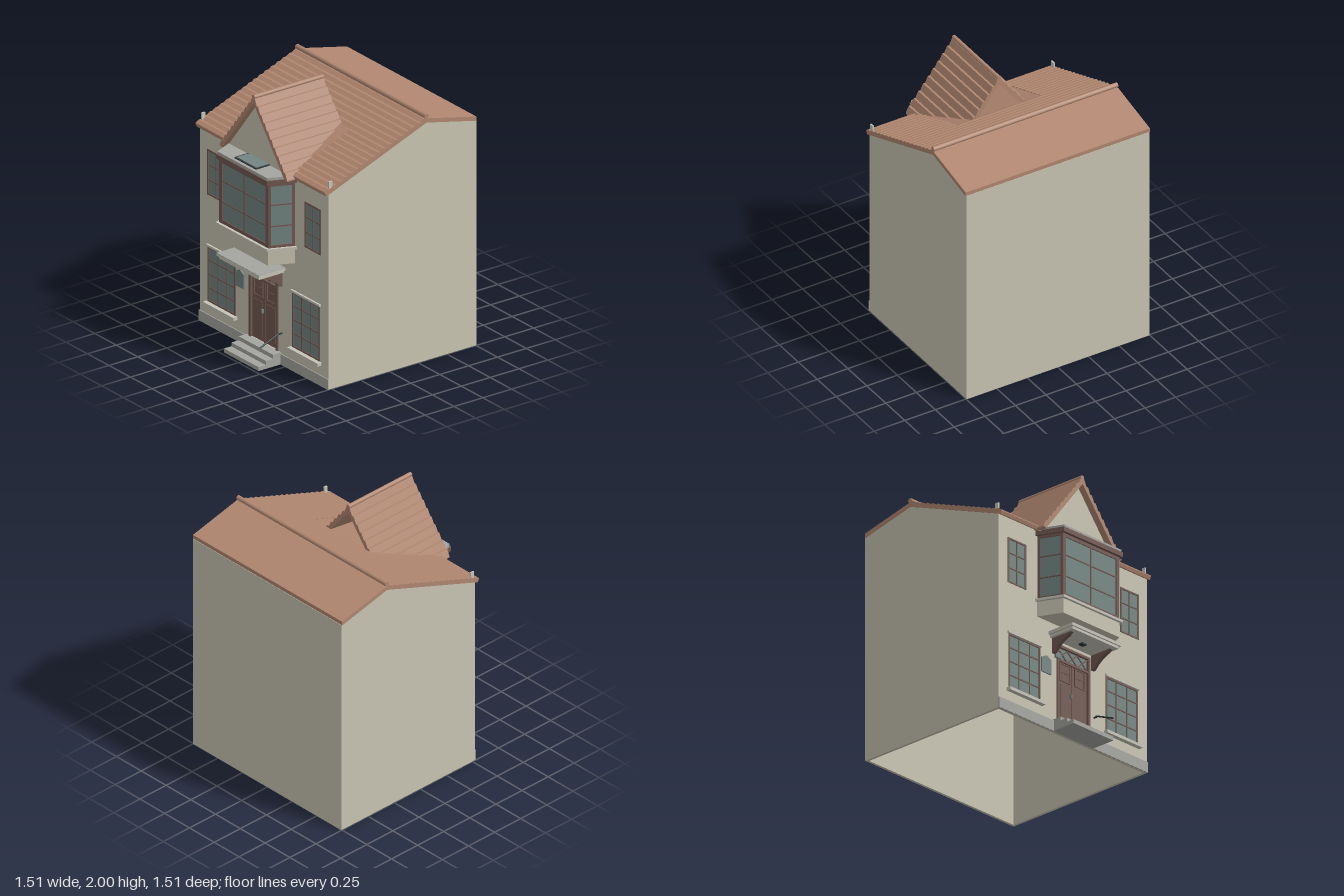
import * as THREE from 'three';

const mat = (name, color) => Object.assign(new THREE.MeshStandardMaterial({ color }), { name });

export function createModel() {
  const root = new THREE.Group();
  root.name = 'house';
  const cream = mat('cream render', 0xc8c4b2);
  const tile = mat('clay tile', 0xb08670);
  const brown = mat('brown timber', 0x725850);
  const glass = mat('window glass', 0x728482);
  const stone = mat('grey stone', 0xa4a4a0);
  const pale = mat('pale stone', 0xc6c4b8);
  const iron = mat('dark iron', 0x30383a);

  const add = (name, geo, m, parent = root) => {
    const mesh = new THREE.Mesh(geo, m);
    mesh.name = name;
    parent.add(mesh);
    return mesh;
  };
  // Box given by its limits on each axis
  const box = (name, m, x0, x1, y0, y1, z0, z1, parent = root) => {
    const mesh = add(name, new THREE.BoxGeometry(x1 - x0, y1 - y0, z1 - z0), m, parent);
    mesh.position.set((x0 + x1) / 2, (y0 + y1) / 2, (z0 + z1) / 2);
    return mesh;
  };
  const shapeOf = pts => new THREE.Shape(pts.map(p => new THREE.Vector2(p[0], p[1])));
  const extrude = (shape, depth) => new THREE.ExtrudeGeometry(shape, { depth, bevelEnabled: false, curveSegments: 8 });
  // Outline in (z, y), extruded from x0 to x1
  const alongX = (name, m, pts, x0, x1) => {
    const geo = extrude(shapeOf(pts.map(([z, y]) => [-z, y])), x1 - x0);
    add(name, geo.rotateY(Math.PI / 2).translate(x0, 0, 0), m);
  };
  // Outline in (x, y), extruded from z0 to z1
  const alongZ = (name, m, pts, z0, z1) =>
    add(name, extrude(shapeOf(pts), z1 - z0).translate(0, 0, z0), m);

  // Walls, open underneath, with openings in the front
  const openings = [[-0.165, 0.165, 0.09, 0.68]];
  for (const s of [-1, 1]) {
    openings.push([s * 0.49 - 0.16, s * 0.49 + 0.16, 0.18, 0.6]);
    openings.push([s * 0.567 - 0.092, s * 0.567 + 0.092, 0.99, 1.335]);
  }
  const front = shapeOf([[-0.748, 0], [0.748, 0], [0.748, 1.49], [-0.748, 1.49]]);
  for (const [x0, x1, y0, y1] of openings) {
    front.holes.push(shapeOf([[x0, y0], [x0, y1], [x1, y1], [x1, y0]]));
  }
  add('frontWall', extrude(front, 0.02).translate(0, 0, 0.507), cream);
  box('backWall', cream, -0.748, 0.748, 0, 1.71, -0.755, -0.735);
  const side = [[0.507, 0], [-0.735, 0], [-0.735, 1.714], [-0.32, 1.812], [0.507, 1.495]];
  alongX('sideWall', cream, side, 0.728, 0.748);
  alongX('sideWall', cream, side, -0.748, -0.728);
  box('plinth', stone, -0.75, 0.75, 0, 0.08, 0.5275, 0.535);

  // Main roof slabs
  const roofY = z => 1.505 + (0.56 - z) * 0.381;
  alongX('frontRoof', tile, [[0.55, 1.475], [0.56, 1.505], [-0.32, 1.84], [-0.32, 1.808]], -0.753, 0.753);
  alongX('backRoof', tile, [[-0.32, 1.808], [-0.32, 1.84], [-0.752, 1.74], [-0.752, 1.708]], -0.753, 0.753);

  // Stepped tile courses: a flat tread, then a steep face, for each row
  const courses = (u0, v0, u1, v1, rows, tread) => {
    const pts = [[u0, v0 - 0.01]];
    const du = (u1 - u0) / rows, dv = (v1 - v0) / rows;
    for (let i = 0; i < rows; i++) {
      const u = u0 + du * i, v = v0 + dv * i;
      pts.push([u, v], [u + du * tread, v]);
    }
    pts.push([u1, v1], [u1, v1 - 0.01]);
    return pts;
  };
  alongX('upperTiles', tile, courses(-0.32, roofY(-0.32), 0.03, roofY(0.03), 7, 0.42), -0.753, 0.753);
  const lower = courses(0.03, roofY(0.03), 0.56, roofY(0.56), 11, 0.42);
  alongX('lowerTiles', tile, lower, 0.345, 0.753);
  alongX('lowerTiles', tile, lower, -0.753, -0.345);
  const ridge = add('mainRidge', new THREE.CylinderGeometry(0.018, 0.018, 1.506, 12), tile);
  ridge.rotation.z = Math.PI / 2;
  ridge.position.set(0, 1.855, -0.32);

  // Front gable and its roof, open at the rear
  alongZ('gableWall', cream, [[-0.375, 1.47], [0.375, 1.47], [0, 1.945]], 0.55, 0.57);
  for (const s of [-1, 1]) {
    const mirror = pts => pts.map(([x, y]) => [s * x, y]);
    alongZ('gableRoof', tile, mirror([[0, 1.935], [0, 1.975], [0.392, 1.485], [0.368, 1.47]]), 0.02, 0.62);
    alongZ('gableTiles', tile, mirror(courses(0, 1.975, 0.392, 1.485, 10, 0.4)), 0.02, 0.62);
    box('eaveStone', pale, s * 0.74 - 0.006, s * 0.74 + 0.006, 1.52, 1.575, 0.49, 0.52);
  }
  const gableRidge = add('gableRidge', new THREE.CylinderGeometry(0.016, 0.016, 0.6, 12), tile);
  gableRidge.rotation.x = Math.PI / 2;
  gableRidge.position.set(0, 1.984, 0.32);

  // Glazed panel centred on its own origin, facing +z
  const panel = (name, w, h, cols, rows, edge) => {
    const g = new THREE.Group();
    g.name = name;
    const X = w / 2, Y = h / 2;
    box('pane', glass, -X, X, -Y, Y, -0.004, 0.004, g);
    for (const s of [-1, 1]) {
      const x = s * (X - edge / 2), y = s * (Y - edge / 2);
      box('stile', brown, x - edge / 2, x + edge / 2, -Y, Y, -0.012, 0.012, g);
      box('rail', brown, -X, X, y - edge / 2, y + edge / 2, -0.011, 0.011, g);
    }
    for (let i = 1; i < cols; i++) {
      const x = -X + w * i / cols;
      box('mullion', brown, x - 0.004, x + 0.004, -Y, Y, -0.009, 0.009, g);
    }
    for (let i = 1; i < rows; i++) {
      const y = -Y + h * i / rows;
      box('glazingBar', brown, -X, X, y - 0.004, y + 0.004, -0.009, 0.009, g);
    }
    root.add(g);
    return g;
  };

  // Wall windows with sills and lintels
  for (const s of [-1, 1]) {
    const x = s * 0.49;
    panel('groundWindow', 0.32, 0.42, 3, 4, 0.012).position.set(x, 0.39, 0.52);
    box('sill', pale, x - 0.178, x + 0.178, 0.155, 0.178, 0.52, 0.562);
    box('lintel', pale, x - 0.168, x + 0.168, 0.6, 0.616, 0.52, 0.542);
    panel('upperWindow', 0.184, 0.345, 2, 3, 0.012).position.set(s * 0.567, 1.1625, 0.52);
  }

  // Bay window: splayed prisms with glazed panels between
  const bay = (name, m, wide, narrow, z, y0, y1) =>
    add(name, extrude(shapeOf([[-wide, 0.525], [wide, 0.525], [narrow, z], [-narrow, z]]), y1 - y0)
      .rotateX(Math.PI / 2).translate(0, y1, 0), m);
  bay('bayBase', cream, 0.362, 0.282, 0.705, 0.825, 0.937);
  bay('baySill', pale, 0.382, 0.296, 0.725, 0.937, 0.956);
  bay('bayCornice', brown, 0.38, 0.296, 0.725, 1.44, 1.475);
  bay('bayRoof', stone, 0.372, 0.288, 0.718, 1.475, 1.495);
  panel('bayFront', 0.56, 0.484, 2, 3, 0.026).position.set(0, 1.198, 0.692);
  for (const s of [-1, 1]) {
    const p = panel('baySide', 0.188, 0.484, 1, 3, 0.018);
    p.position.set(s * 0.312, 1.198, 0.612);
    p.rotation.y = s * 1.166;
    const post = add('bayPost', new THREE.CylinderGeometry(0.015, 0.015, 0.484, 8), brown);
    post.position.set(s * 0.274, 1.198, 0.69);
  }
  box('skylightFrame', iron, -0.126, 0.126, 1.494, 1.502, 0.56, 0.692);
  box('skylightGlass', glass, -0.114, 0.114, 1.5, 1.504, 0.57, 0.68);

  // Door with two leaves and a lattice fanlight
  box('doorLeaves', brown, -0.15, 0.15, 0.09, 0.57, 0.508, 0.518);
  box('doorHead', brown, -0.165, 0.165, 0.664, 0.682, 0.505, 0.537);
  box('transom', brown, -0.15, 0.15, 0.556, 0.574, 0.505, 0.535);
  box('fanlight', glass, -0.15, 0.15, 0.57, 0.67, 0.51, 0.517);
  box('meetingStile', brown, -0.006, 0.006, 0.09, 0.56, 0.51, 0.526);
  for (const s of [-1, 1]) {
    box('doorPost', brown, s * 0.157 - 0.009, s * 0.157 + 0.009, 0.09, 0.68, 0.505, 0.537);
    panel('doorLight', 0.106, 0.14, 1, 2, 0.01).position.set(s * 0.075, 0.488, 0.513);
    box('doorPanel', brown, s * 0.075 - 0.047, s * 0.075 + 0.047, 0.12, 0.39, 0.515, 0.522);
    for (let i = -1; i <= 1; i++) {
      const bar = add('lattice', new THREE.BoxGeometry(0.134, 0.008, 0.012), brown);
      bar.position.set(i * 0.1, 0.619, 0.518);
      bar.rotation.z = s * 0.73;
    }
  }
  box('doorHandle', glass, -0.025, -0.015, 0.31, 0.34, 0.518, 0.535);

  // Canopy on curved brackets
  box('canopyTop', pale, -0.246, 0.246, 0.727, 0.747, 0.52, 0.757);
  box('canopyRoof', stone, -0.246, 0.246, 0.747, 0.75, 0.52, 0.757);
  box('canopyBase', pale, -0.232, 0.232, 0.708, 0.727, 0.52, 0.745);
  const bracket = [[0.525, 0.708], [0.705, 0.708], [0.685, 0.69], [0.62, 0.662], [0.575, 0.63], [0.55, 0.6], [0.525, 0.595]];
  for (const s of [-1, 1]) alongX('bracket', brown, bracket, s * 0.197 - 0.014, s * 0.197 + 0.014);
  box('canopyLamp', iron, -0.022, 0.022, 0.698, 0.709, 0.6, 0.64);

  // Steps, handrail and wall fittings
  for (let i = 0; i < 3; i++) {
    box('step', stone, -0.2, 0.2, i * 0.03, i * 0.03 + 0.03, 0.527, 0.725 - i * 0.063);
  }
  const rail = new THREE.LineCurve3(new THREE.Vector3(0.21, 0.175, 0.722), new THREE.Vector3(0.21, 0.247, 0.55));
  add('handrail', new THREE.TubeGeometry(rail, 1, 0.006, 8), iron);
  box('railBracket', iron, 0.206, 0.214, 0.235, 0.245, 0.525, 0.56);
  alongZ('wallPlaque', glass, [[-0.322, 0.42], [-0.225, 0.42], [-0.225, 0.53], [-0.272, 0.555], [-0.322, 0.53]], 0.527, 0.537);
  box('doorSign', glass, -0.188, -0.135, 0.57, 0.612, 0.53, 0.545);
  return root;
}
